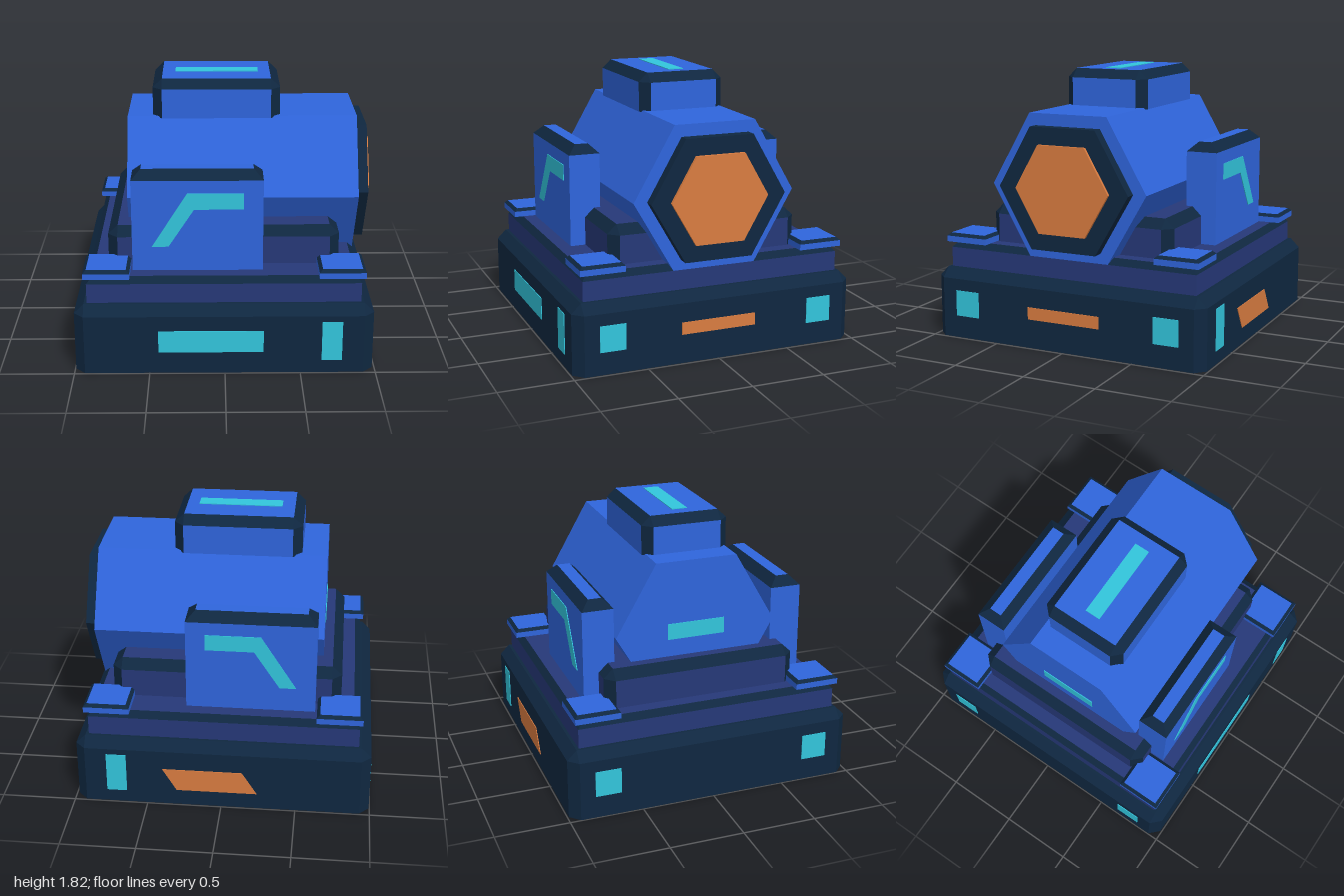
import * as THREE from 'three';

const material = (name, color) => {
  const m = new THREE.MeshStandardMaterial({ color });
  m.name = name;
  m.flatShading = true;
  return m;
};

// Box with a bevelled top rim (rise h, inset t) and optional cut vertical corners (c).
// Walls and top use the first material, bevels and corners the second.
function bevelBox(name, [x0, x1], [y0, y1], [z0, z1], { h, t, c = 0 }, body, trim) {
  const w = (x1 - x0) / 2, d = (z1 - z0) / 2;
  const ring = (w, d, c, y) => [
    [w - c, d], [w, d - c], [w, c - d], [w - c, -d],
    [c - w, -d], [-w, c - d], [-w, d - c], [c - w, d],
  ].map(([x, z]) => new THREE.Vector3(x, y, z));
  const low = ring(w, d, c, y0), mid = ring(w, d, c, y1 - h), top = ring(w - t, d - t, 0, y1);
  const faces = [[], []];
  const tri = (k, ...p) => {
    if (new THREE.Triangle(...p).getArea() > 1e-7) p.forEach((v) => faces[k].push(v.x, v.y, v.z));
  };
  const quad = (k, a, b, e, f) => { tri(k, a, b, e); tri(k, a, e, f); };
  for (let i = 0; i < 8; i++) {
    const j = (i + 1) % 8;
    quad(i % 2 ? 0 : 1, low[i], low[j], mid[j], mid[i]);
    quad(1, mid[i], mid[j], top[j], top[i]);
    if (i > 0 && i < 7) {
      tri(0, top[0], top[i], top[j]);
      tri(0, low[0], low[j], low[i]);
    }
  }
  const geo = new THREE.BufferGeometry();
  geo.setAttribute('position', new THREE.Float32BufferAttribute([...faces[0], ...faces[1]], 3));
  geo.addGroup(0, faces[0].length / 3, 0);
  geo.addGroup(faces[0].length / 3, faces[1].length / 3, 1);
  geo.computeVertexNormals();
  const mesh = new THREE.Mesh(geo, [body, trim]);
  mesh.name = name;
  mesh.position.set((x0 + x1) / 2, 0, (z0 + z1) / 2);
  return mesh;
}

// Thin flat inlay drawn in its own plane, then turned to face a side
function plate(name, points, mat, position, turn = 0) {
  const shape = new THREE.Shape(points.map(([x, y]) => new THREE.Vector2(x, y)));
  const mesh = new THREE.Mesh(new THREE.ExtrudeGeometry(shape, { depth: 0.005, bevelEnabled: false }), mat);
  mesh.name = name;
  mesh.position.set(...position);
  mesh.rotation.y = turn;
  return mesh;
}
const rect = (x0, x1, y0, y1) => [[x0, y0], [x1, y0], [x1, y1], [x0, y1]];

// Six-sided prism lying along x
function hexPrism(name, radius, x0, x1, mat) {
  const geo = new THREE.CylinderGeometry(radius, radius, x1 - x0, 6).rotateZ(-Math.PI / 2);
  const mesh = new THREE.Mesh(geo, mat);
  mesh.name = name;
  mesh.position.set((x0 + x1) / 2, 1.08, 0);
  return mesh;
}

export function createModel() {
  const navy = material('navy', 0x0f2740);
  const indigo = material('indigo', 0x263878);
  const blue = material('blue', 0x2f65dc);
  const cyan = material('cyan', 0x32c5dc);
  const orange = material('orange', 0xd97c40);
  const g = new THREE.Group();
  g.name = 'model';

  // Stepped plinth
  g.add(
    bevelBox('base', [-0.995, 0.985], [0, 0.475], [-0.99, 0.99], { h: 0.065, t: 0.065, c: 0.065 }, navy, navy),
    bevelBox('lowerDeck', [-0.91, 0.9], [0.475, 0.65], [-0.905, 0.905], { h: 0.042, t: 0.04 }, indigo, navy),
    bevelBox('upperDeck', [-0.78, 0.77], [0.65, 0.905], [-0.67, 0.67], { h: 0.062, t: 0.065, c: 0.065 }, indigo, navy),
  );

  // Corner pads
  for (const x of [-0.777, 0.772]) {
    for (const z of [-0.775, 0.775]) {
      g.add(bevelBox('cornerPad', [x - 0.153, x + 0.153], [0.65, 0.71], [z - 0.153, z + 0.153],
        { h: 0.02, t: 0.022 }, blue, navy));
    }
  }

  // Hexagonal drum with its end ring and core
  g.add(
    hexPrism('drum', 0.56, -0.65, 0.9, blue),
    hexPrism('drumRing', 0.468, 0.9, 0.975, navy),
    hexPrism('drumCore', 0.337, 0.95, 0.996, orange),
    plate('drumEndLight', rect(-0.2, 0.2, 1.025, 1.135), cyan, [-0.65, 0, 0], -Math.PI / 2),
  );

  // Roof box with light strip
  g.add(bevelBox('roofBox', [-0.48, 0.38], [1.555, 1.815], [-0.3, 0.3], { h: 0.06, t: 0.063, c: 0.063 }, blue, navy));
  const strip = plate('roofLight', rect(-0.33, 0.235, -0.053, 0.053), cyan, [0, 1.815, 0]);
  strip.rotation.x = -Math.PI / 2;
  g.add(strip);

  // Side panels with bent stripes, front and back
  const bend = [[-0.48, 0.82], [-0.37, 0.82], [-0.2, 1.08], [0.125, 1.08], [0.125, 1.19], [-0.245, 1.19]];
  const flip = (points) => points.map(([x, y]) => [-x, y]);
  g.add(
    bevelBox('frontPanel', [-0.61, 0.253], [0.65, 1.34], [0.56, 0.775], { h: 0.062, t: 0.063 }, blue, navy),
    bevelBox('backPanel', [-0.61, 0.253], [0.65, 1.34], [-0.775, -0.56], { h: 0.062, t: 0.063 }, blue, navy),
    plate('frontStripe', bend, cyan, [0, 0, 0.775]),
    plate('backStripe', flip(bend), cyan, [0, 0, -0.775], Math.PI),
  );

  // Inlays around the base
  const tall = rect(0.64, 0.775, 0.09, 0.37);
  const slant = [[-0.24, 0.115], [0.3, 0.115], [0.395, 0.275], [-0.14, 0.275]];
  g.add(
    plate('frontLight', rect(-0.44, 0.255, 0.153, 0.307), cyan, [0, 0, 0.99]),
    plate('frontTallLight', tall, cyan, [0, 0, 0.99]),
    plate('backTallLight', flip(tall), cyan, [0, 0, -0.99], Math.PI),
    plate('backSlantLight', flip(slant), orange, [0, 0, -0.99], Math.PI),
    plate('leftBar', rect(-0.262, 0.262, 0.197, 0.28), orange, [0.985, 0, 0], Math.PI / 2),
  );
  for (const s of [-1, 1]) {
    const square = rect(s * 0.735 - 0.088, s * 0.735 + 0.088, 0.153, 0.33);
    g.add(
      plate('leftSideLight', square, cyan, [0.985, 0, 0], Math.PI / 2),
      plate('rightSideLight', square, cyan, [-0.995, 0, 0], -Math.PI / 2),
    );
  }
  return g;
}
